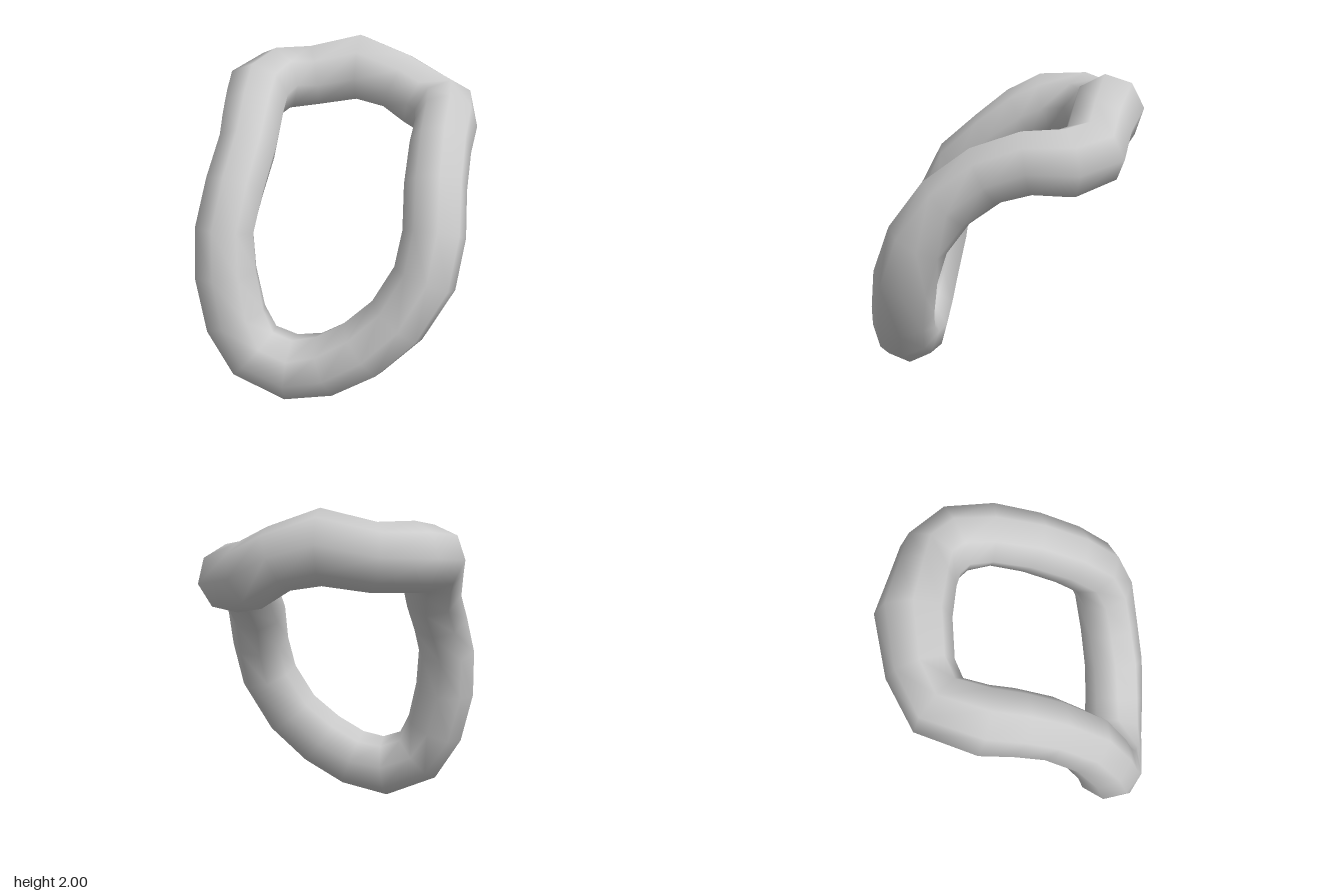
import * as THREE from 'three';

// Closed centreline of the bent ring: x, y, z and the tube radius there
const STATIONS = [
  [-0.20, 0.21, 0.66, 0.205], [-0.43, 0.30, 0.66, 0.20], [-0.55, 0.50, 0.64, 0.20],
  [-0.62, 0.78, 0.59, 0.20], [-0.635, 1.05, 0.54, 0.19], [-0.60, 1.28, 0.42, 0.19],
  [-0.58, 1.47, 0.20, 0.19], [-0.60, 1.62, 0.00, 0.20], [-0.62, 1.70, -0.17, 0.21],
  [-0.55, 1.72, -0.43, 0.21], [-0.34, 1.72, -0.55, 0.205], [-0.04, 1.78, -0.61, 0.225],
  [0.22, 1.71, -0.58, 0.20], [0.40, 1.61, -0.56, 0.21], [0.56, 1.58, -0.42, 0.21],
  [0.60, 1.58, -0.20, 0.195], [0.60, 1.50, 0.04, 0.19], [0.61, 1.33, 0.27, 0.19],
  [0.635, 1.10, 0.44, 0.19], [0.60, 0.85, 0.53, 0.195], [0.45, 0.58, 0.59, 0.195],
  [0.25, 0.39, 0.64, 0.20], [0.03, 0.26, 0.66, 0.20],
];
const SIDES = 8;

// Sweeps an octagon round the loop, each ring oriented by the direction out of its middle
function loopGeometry(stations, sides, middle) {
  const points = stations.map(([x, y, z]) => new THREE.Vector3(x, y, z));
  const curve = new THREE.CatmullRomCurve3(points, true);
  const count = points.length;
  const positions = [];
  const indices = [];
  points.forEach((p, i) => {
    const along = curve.getTangent(i / count);
    const out = p.clone().sub(middle);
    out.addScaledVector(along, -out.dot(along)).normalize();
    const across = along.clone().cross(out);
    const next = (i + 1) % count;
    for (let j = 0; j < sides; j++) {
      const angle = (j / sides) * Math.PI * 2;
      const v = p.clone()
        .addScaledVector(out, Math.cos(angle) * stations[i][3])
        .addScaledVector(across, Math.sin(angle) * stations[i][3]);
      positions.push(v.x, v.y, v.z);
      const k = (j + 1) % sides;
      const a = i * sides + j, b = i * sides + k;
      const c = next * sides + j, d = next * sides + k;
      indices.push(a, b, c, b, d, c);
    }
  });
  const geometry = new THREE.BufferGeometry();
  geometry.setAttribute('position', new THREE.Float32BufferAttribute(positions, 3));
  geometry.setIndex(indices);
  geometry.computeVertexNormals();
  return geometry;
}

export function createModel() {
  const group = new THREE.Group();
  group.name = 'bentRing';

  const lightGrey = new THREE.MeshStandardMaterial({ color: 0xcccccc });
  lightGrey.name = 'light grey';

  // One continuous tube
  const ring = new THREE.Mesh(loopGeometry(STATIONS, SIDES, new THREE.Vector3(0, 1.05, 0)), lightGrey);
  ring.name = 'ringTube';
  group.add(ring);
  return group;
}
